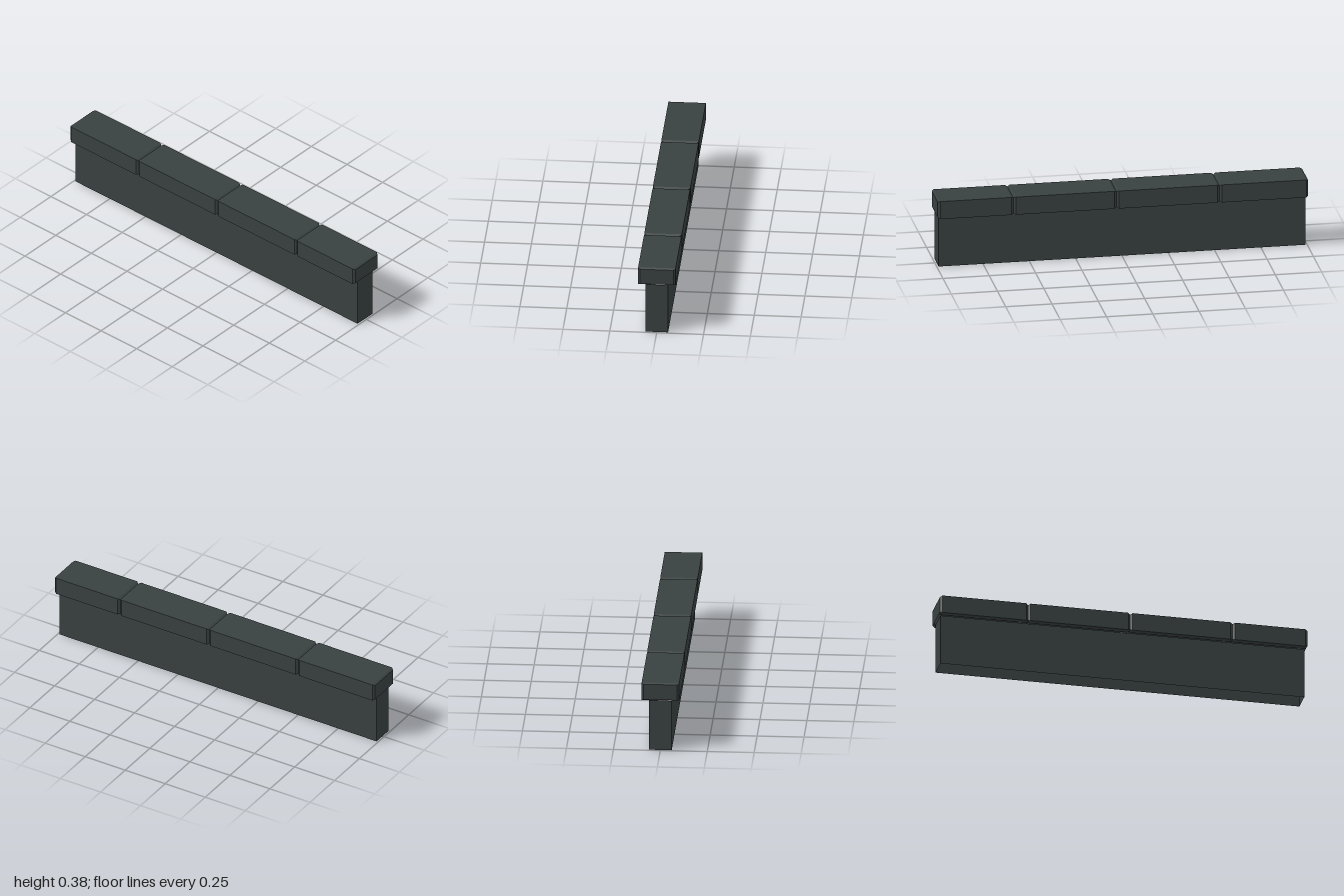
import * as THREE from 'three';

// half profiles (x, y) from the inner underside out and up to the top edge
const MAIN = [[0.06, 0.283], [0.1, 0.281], [0.1, 0.38]];
const END = [[0.06, 0.287], [0.09, 0.287], [0.09, 0.374]];
const BEVEL = 0.012;

const mirrorProfile = (half) => [...half, ...half.slice().reverse().map(([x, y]) => [-x, y])];

// open-bottomed coping block, chamfered towards both ends
function copingGeometry(z0, z1) {
  const rings = [[END, z0], [MAIN, z0 + BEVEL], [MAIN, z1 - BEVEL], [END, z1]]
    .map(([half, z]) => mirrorProfile(half).map(([x, y]) => [x, y, z]));
  const pos = [];
  const quad = (a, b, c, d) => pos.push(...a, ...b, ...c, ...a, ...c, ...d);
  for (let r = 0; r < rings.length - 1; r++) {
    const p = rings[r], q = rings[r + 1];
    for (let i = 0; i < p.length - 1; i++) quad(p[i], p[i + 1], q[i + 1], q[i]);
  }
  const back = rings[0], front = rings[3];
  quad(front[1], front[2], front[3], front[4]);
  quad(back[4], back[3], back[2], back[1]);
  const geo = new THREE.BufferGeometry();
  geo.setAttribute('position', new THREE.Float32BufferAttribute(pos, 3));
  geo.computeVertexNormals();
  return geo;
}

export function createModel() {
  const group = new THREE.Group();
  group.name = 'copedWall';
  const stone = new THREE.MeshStandardMaterial({ color: 0x394040, side: THREE.DoubleSide });
  stone.name = 'dark slate';

  // wall: four sides only, hollow with open top and bottom
  const wallGeo = new THREE.BoxGeometry(0.12, 0.28, 1.98);
  const index = Array.from(wallGeo.index.array);
  wallGeo.setIndex([...index.slice(0, 12), ...index.slice(24)]);
  wallGeo.clearGroups();
  const wall = new THREE.Mesh(wallGeo, stone);
  wall.name = 'wall';
  wall.position.y = 0.14;
  group.add(wall);

  // row of coping blocks meeting in V joints
  const joints = [-1, -0.52, 0.035, 0.592, 1];
  for (let i = 0; i < joints.length - 1; i++) {
    const block = new THREE.Mesh(copingGeometry(joints[i], joints[i + 1]), stone);
    block.name = `copingBlock${i + 1}`;
    group.add(block);
  }
  return group;
}
